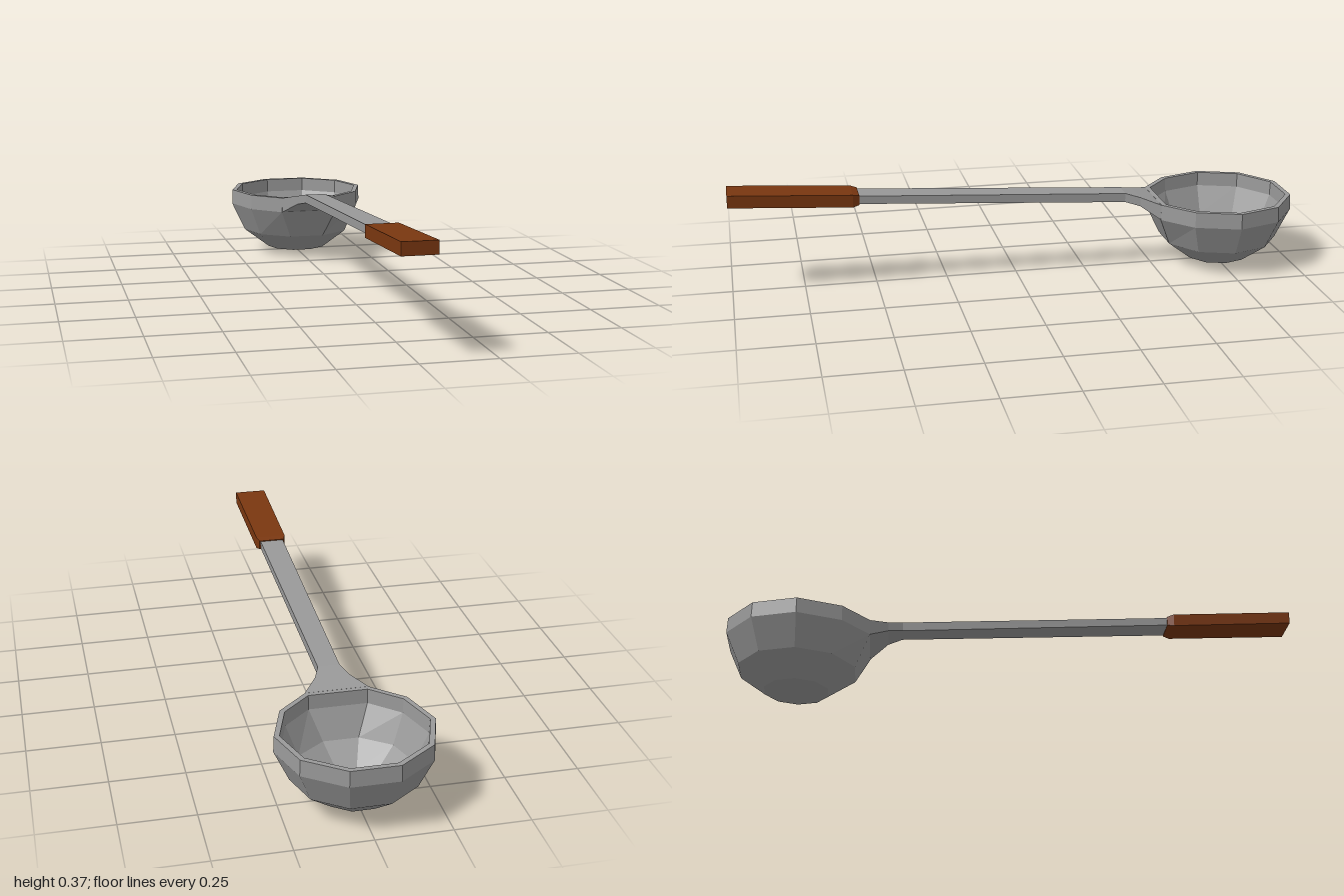
import * as THREE from 'three';

const steel = new THREE.MeshStandardMaterial({ color: 0x999999 });
steel.name = 'steel grey';
const wood = new THREE.MeshStandardMaterial({ color: 0x7a3710 });
wood.name = 'wood brown';

// Skins a list of closed rings with flat-shaded faces
function loft(name, rings, material) {
  const pos = [];
  const tri = (a, b, c) => {
    const area = b.clone().sub(a).cross(c.clone().sub(a)).length();
    if (area > 1e-9) for (const p of [a, b, c]) pos.push(p.x, p.y, p.z);
  };
  for (let i = 0; i < rings.length - 1; i++) {
    const n = rings[i].length;
    for (let k = 0; k < n; k++) {
      const k2 = (k + 1) % n;
      const a = rings[i][k], b = rings[i][k2], c = rings[i + 1][k], d = rings[i + 1][k2];
      tri(a, c, b);
      tri(b, c, d);
    }
  }
  const geo = new THREE.BufferGeometry();
  geo.setAttribute('position', new THREE.Float32BufferAttribute(pos, 3));
  geo.computeVertexNormals();
  const mesh = new THREE.Mesh(geo, material);
  mesh.name = name;
  return mesh;
}

// Ten-sided bowl ring; flare widens the two front corners where the neck joins
function bowlRing([r, y, flare = 1]) {
  return Array.from({ length: 10 }, (_, k) => {
    const a = k * Math.PI / 5;
    const x = r * Math.cos(a) * (k === 2 || k === 3 ? flare : 1);
    return new THREE.Vector3(x, y, r * Math.sin(a) - 0.75);
  });
}

// Rectangular bar through sections [z, top, bottom, half width], capped at both ends
function bar(name, sections, material) {
  const rect = ([z, t, b, w]) => [[w, t], [w, b], [-w, b], [-w, t]]
    .map(([x, y]) => new THREE.Vector3(x, y, z));
  const cap = ([z, t, b]) => rect([z, (t + b) / 2, (t + b) / 2, 0]);
  const last = sections[sections.length - 1];
  return loft(name, [cap(sections[0]), ...sections.map(rect), cap(last)], material);
}

export function createModel() {
  const model = new THREE.Group();
  model.name = 'ladle';

  // Bowl: outside from the base up, over the rim, then down the inside
  const profile = [
    [0, 0.002], [0.115, 0.018], [0.21, 0.09], [0.26, 0.197, 1.33], [0.258, 0.252, 1.33],
    [0.24, 0.252, 1.33], [0.238, 0.202, 1.33], [0.193, 0.102], [0.106, 0.036], [0, 0.022],
  ];
  model.add(loft('bowl', profile.map(bowlRing), steel));

  // Flared neck and long slim shaft
  model.add(bar('shaft', [
    [-0.504, 0.252, 0.197, 0.106],
    [-0.44, 0.269, 0.237, 0.058],
    [-0.39, 0.281, 0.249, 0.037],
    [0.57, 0.336, 0.308, 0.043],
  ], steel));

  // Wooden grip with a chamfered front edge
  model.add(bar('grip', [
    [0.555, 0.338, 0.305, 0.047],
    [0.578, 0.344, 0.3, 0.055],
    [1, 0.369, 0.326, 0.058],
  ], wood));

  return model;
}
